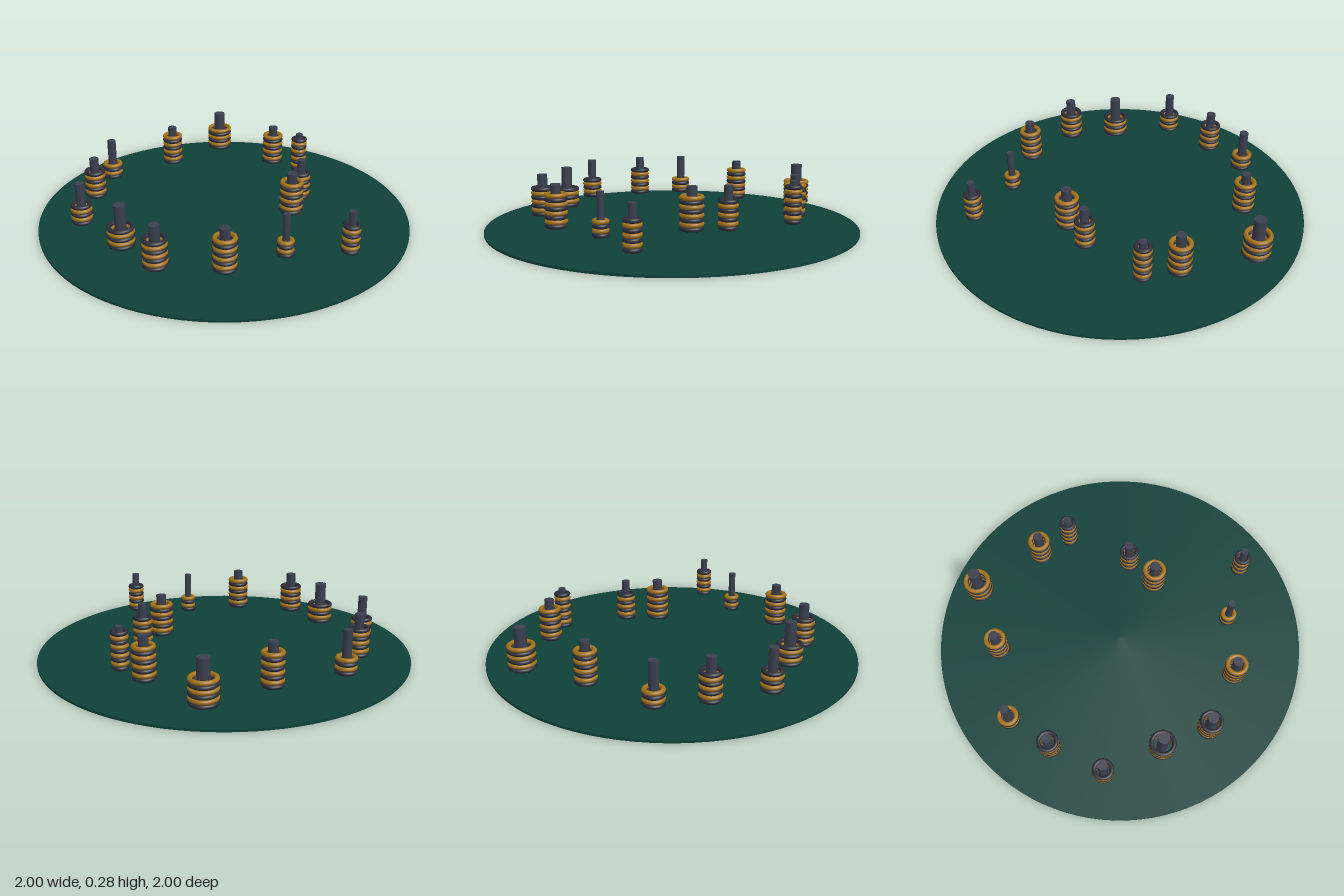
import * as THREE from 'three';

const paint = (name, color) => {
  const m = new THREE.MeshStandardMaterial({ color });
  m.name = name;
  return m;
};

export function createModel() {
  const green = paint('deep green', 0x0f4039);
  const slate = paint('slate', 0x3a3e4e);
  const charcoal = paint('charcoal', 0x2c2d39);
  const gold = paint('dark gold', 0xa57217);

  const model = new THREE.Group();
  model.name = 'ringStacks';
  const add = (parent, name, geometry, material, y) => {
    const mesh = new THREE.Mesh(geometry, material);
    mesh.name = name;
    mesh.position.y = y;
    parent.add(mesh);
  };

  // Thin round base
  add(model, 'base', new THREE.CylinderGeometry(1, 1, 0.012, 96), green, 0.006);

  // Each stack: x, z, outer radius, number of rings
  const stacks = [
    [-0.235, -0.72, 0.056, 4],
    [0.16, -0.65, 0.058, 8],
    [0.535, -0.64, 0.073, 6],
    [-0.453, -0.57, 0.058, 7],
    [-0.68, -0.355, 0.057, 5],
    [-0.665, -0.02, 0.07, 5],
    [-0.66, 0.25, 0.063, 7],
    [0.62, -0.245, 0.06, 8],
    [0.655, -0.06, 0.046, 9],
    [0.388, 0.205, 0.053, 7],
    [0.225, 0.29, 0.063, 8],
    [-0.433, 0.49, 0.06, 8],
    [-0.128, 0.59, 0.043, 4],
    [0.13, 0.78, 0.046, 7],
  ];
  const tube = 0.0115, pitch = 0.0225, bottom = 0.053, top = 0.278;

  for (const [x, z, radius, count] of stacks) {
    const stack = new THREE.Group();
    stack.name = 'stack';
    stack.position.set(x, 0, z);

    // Central post
    const r = radius * 0.43;
    add(stack, 'post', new THREE.CylinderGeometry(r, r, top - bottom, 20), slate, (top + bottom) / 2);

    // Alternating rings, dark one at the bottom
    const ring = new THREE.TorusGeometry(radius - tube, tube, 10, 32).rotateX(Math.PI / 2);
    for (let i = 0; i < count; i++) {
      add(stack, 'ring', ring, i % 2 ? gold : charcoal, bottom + tube + i * pitch);
    }
    model.add(stack);
  }
  return model;
}
